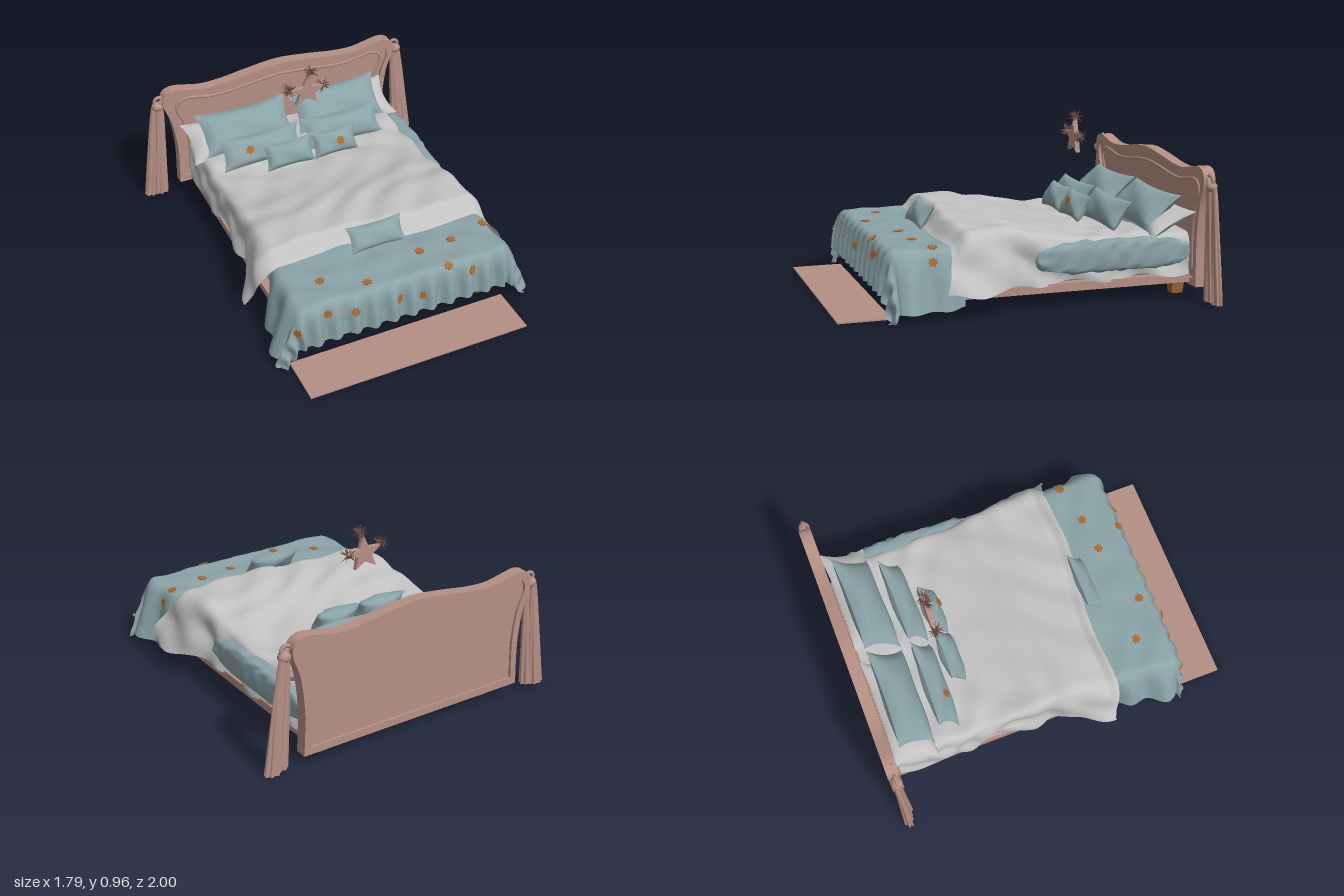
import * as THREE from 'three';
import { mergeGeometries, toCreasedNormals } from 'three/addons/utils/BufferGeometryUtils.js';
import { RoundedBoxGeometry } from 'three/addons/geometries/RoundedBoxGeometry.js';

function material(name, color) {
  const m = new THREE.MeshStandardMaterial({ color, side: THREE.DoubleSide });
  m.name = name;
  return m;
}

const { lerp, smoothstep, clamp } = THREE.MathUtils;
const wrinkle = (x, z) =>
  0.009 * Math.sin(9 * x + 4 * Math.sin(6 * z)) * Math.sin(11 * z + 3 * Math.sin(5 * x)) +
  0.004 * Math.sin(23 * x + 17 * z);

// Moves every vertex of a geometry by a rule
function reshape(geometry, rule) {
  const p = geometry.attributes.position;
  for (let i = 0; i < p.count; i++) p.setXYZ(i, ...rule(p.getX(i), p.getY(i), p.getZ(i)));
  geometry.computeVertexNormals();
  return geometry;
}

// Cloth sheet from a rule of u (-1..1, across) and v (0..1, back to front)
const cloth = (nu, nv, rule) =>
  reshape(new THREE.PlaneGeometry(1, 1, nu, nv), (x, y) => rule(2 * x, 0.5 - y));

// Duvet: flat on top, thicker toward the foot, flaring down both sides
function duvetPoint(u, v) {
  const a = u * 0.92, o = Math.max(0, Math.abs(a) - 0.56);
  const z = -0.92 + v * 1.31 + 0.06 * u * v ** 3 + 0.02 * Math.sin(u * 7) * v ** 3;
  const top = 0.355 + 0.08 * smoothstep(z, -0.4, 0.22) - 0.08 * smoothstep(v, 0.93, 1);
  const drop = (o * o / (o + 0.05)) / 0.316;
  const slope = 0.02 + 0.38 * smoothstep(z, -0.05, 0.3);
  const w = wrinkle(a, z);
  const out = 0.05 * (1 - Math.exp(-o / 0.04)) + o * slope + 2 * w * Math.min(1, o * 5);
  const hem = 0.125 + 0.015 * Math.sin(z * 17);
  return [Math.sign(a) * (Math.min(Math.abs(a), 0.56) + out), lerp(top + w, hem, drop), z];
}

// Throw: hangs over the foot end and both sides, lowest at the corners
function throwPoint(u, v) {
  const a = u * 0.93, b = 0.34 + v * 0.64;
  const ox = Math.max(0, Math.abs(a) - 0.57), oz = Math.max(0, b - 0.7);
  const o = Math.hypot(ox, oz), dx = o ? ox / o : 0, dz = o ? oz / o : 0;
  const round = 0.05 * (1 - Math.exp(-o / 0.04));
  const outX = dx * (round + o * (0.08 + 0.25 * Math.min(1, v * 2)) + 0.018 * Math.sin(b * 32) * Math.min(1, ox * 5));
  const outZ = dz * (round + o * 0.08 + 0.018 * Math.sin(a * 57) * Math.min(1, oz * 5));
  const y = 0.355 - o * o / (o + 0.06) + 0.6 * wrinkle(a, b);
  return [Math.sign(a) * (Math.min(Math.abs(a), 0.57) + outX), Math.max(0.01, y), Math.min(b, 0.7) + outZ];
}

// Cushion with pinched edges and pointed corners
const cushion = (w, h, d) =>
  reshape(new THREE.BoxGeometry(2, 2, 2, 18, 14, 1), (x, y, z) => [
    (w / 2) * x * (0.9 + 0.1 * y * y),
    (h / 2) * y * (0.86 + 0.14 * x * x),
    (d / 2) * z * Math.pow((1 - x * x) * (1 - y * y), 0.45) * (1 + 0.1 * Math.sin(4 * x + 3 * y)),
  ]);

// Wavy headboard outline, inset by k
function outline(k) {
  const half = [[0.68, 0.06], [0.675, 0.3], [0.70, 0.5], [0.742, 0.62], [0.73, 0.69], [0.67, 0.715],
    [0.58, 0.70], [0.48, 0.682], [0.35, 0.688], [0.2, 0.71]];
  const all = [...half, [0, 0.73], ...half.map(([x, y]) => [-x, y]).reverse()];
  const points = all.map(([x, y]) => new THREE.Vector2(
    x * (1 - k / 0.72), 0.06 + k + (y - 0.06) * (0.67 - 2 * k) / 0.67));
  return new THREE.SplineCurve(points).getPoints(90);
}

export function createModel() {
  const model = new THREE.Group();
  const rose = material('dusty rose', 0xb58f84);
  const blue = material('grey blue', 0x8aa3a7);
  const grey = material('pale grey', 0xc1c2c1);
  const wood = material('brown wood', 0x9c6431);
  const orange = material('burnt orange', 0xac6a30);
  const twig = material('dark twig', 0x74524a);

  function add(name, geometry, mat, x = 0, y = 0, z = 0, parent = model) {
    const mesh = new THREE.Mesh(geometry, mat);
    mesh.name = name;
    mesh.position.set(x, y, z);
    parent.add(mesh);
    return mesh;
  }

  // Headboard: panel, raised rim and inner moulding
  const extrude = (shape, depth) =>
    toCreasedNormals(new THREE.ExtrudeGeometry(shape, { depth, bevelEnabled: false }), 0.6);
  add('headboardPanel', extrude(new THREE.Shape(outline(0.02)), 0.036), rose, 0, 0, -0.984);
  const rim = new THREE.Shape(outline(0));
  rim.holes.push(new THREE.Path(outline(0.04)));
  add('headboardRim', extrude(rim, 0.066), rose, 0, 0, -0.998);
  const path = new THREE.CatmullRomCurve3(outline(0.08).map(p => new THREE.Vector3(p.x, p.y, 0)), true);
  add('headboardMoulding', new THREE.TubeGeometry(path, 160, 0.009, 6, true), rose, 0, 0, -0.947);

  // Knotted curtains on both headboard posts
  for (const side of [1, -1]) {
    const curtain = new THREE.Group();
    curtain.name = side > 0 ? 'leftCurtain' : 'rightCurtain';
    const strands = [[0.785, 0.848, 0.042, 0.005, -0.972], [0.758, 0.798, 0.04, 0.012, -0.958]];
    for (const [topX, bottomX, halfWidth, bottom, z0] of strands) {
      const g = reshape(new THREE.CylinderGeometry(1, 1, 1, 36, 12), (x, y, z) => {
        const t = 0.5 - y, angle = Math.atan2(z, x);
        const pleat = 1 + 0.2 * t * Math.cos(7 * angle + 2 * t);
        return [lerp(topX, bottomX, t) + x * lerp(0.02, halfWidth, Math.sqrt(t)) * pleat,
          lerp(0.61, bottom, t), z0 + z * lerp(0.015, 0.025, t) * pleat];
      });
      add('curtainStrand', g, rose, 0, 0, 0, curtain);
    }
    const knot = add('curtainKnot', new THREE.SphereGeometry(0.035, 16, 10), rose, 0.77, 0.62, -0.962, curtain);
    knot.scale.set(1, 0.85, 0.9);
    const loop = add('curtainLoop', new THREE.TorusGeometry(0.028, 0.01, 8, 18), rose, 0.76, 0.65, -0.962, curtain);
    loop.rotation.z = 0.5;
    const tip = add('curtainTip', new THREE.CylinderGeometry(0.007, 0.016, 0.12, 8), rose, 0.73, 0.67, -0.955, curtain);
    tip.rotation.z = 0.75;
    curtain.scale.x = side;
    model.add(curtain);
  }

  // Base, feet, mattress and floor strip
  add('bedBase', new THREE.BoxGeometry(1.22, 0.045, 1.64), rose, 0, 0.0975, -0.11);
  for (const x of [-0.515, 0.515]) for (const z of [-0.89, 0.62]) {
    const foot = add('foot', new THREE.CylinderGeometry(0.055, 0.042, 0.08, 4).toNonIndexed(), wood, x, 0.04, z);
    foot.geometry.rotateY(Math.PI / 4);
    foot.geometry.computeVertexNormals();
  }
  add('mattress', new RoundedBoxGeometry(1.14, 0.22, 1.6, 3, 0.04), grey, 0, 0.22, -0.12);
  add('floorStrip', new THREE.BoxGeometry(1.27, 0.008, 0.28), rose, -0.035, 0.004, 0.86);

  // Bedding
  add('duvet', cloth(90, 80, duvetPoint), grey);
  add('footThrow', cloth(160, 60, throwPoint), blue);
  const sideBlanket = reshape(new THREE.CapsuleGeometry(1, 1, 10, 20, 16), (x, y, z) => {
    const along = clamp(y / 1.5, -1, 1), w = wrinkle(along, z);
    const box = t => Math.sign(t) * Math.pow(Math.abs(t), 0.55);
    return [0.61 + box(x) * 0.055 + w, 0.255 + box(z) * 0.083 + w, -0.48 - along * 0.435];
  });
  add('sideBlanket', sideBlanket, blue);

  // Pillows: width, height, depth, x, y, z, backward lean
  const pillows = [
    ['sleepingPillow', 0.62, 0.28, 0.11, -0.345, 0.41, -0.81, 1.1, grey],
    ['sleepingPillow', 0.62, 0.28, 0.11, 0.345, 0.41, -0.81, 1.1, grey],
    ['largePillow', 0.57, 0.27, 0.14, -0.295, 0.455, -0.785, 0.8, blue],
    ['largePillow', 0.57, 0.27, 0.14, 0.29, 0.455, -0.785, 0.8, blue],
    ['mediumPillow', 0.5, 0.19, 0.11, -0.28, 0.43, -0.585, 0.6, blue],
    ['mediumPillow', 0.5, 0.19, 0.11, 0.235, 0.43, -0.585, 0.6, blue],
    ['smallPillow', 0.3, 0.16, 0.1, -0.16, 0.44, -0.45, 0.5, blue],
    ['smallPillow', 0.28, 0.16, 0.1, 0.125, 0.44, -0.45, 0.5, blue],
    ['footCushion', 0.33, 0.15, 0.08, -0.02, 0.42, 0.405, 0.6, blue],
  ];
  const cushions = pillows.map(([name, w, h, d, x, y, z, lean, mat]) => {
    const mesh = add(name, cushion(w, h, d), mat, x, y, z);
    mesh.rotation.x = -lean;
    mesh.rotation.y = x * 0.08;
    return mesh;
  });

  // Printed flowers on the throw and two pillows
  const petals = [];
  for (let i = 0; i < 28; i++) {
    const angle = (i / 28) * Math.PI * 2, r = 0.022 + 0.005 * Math.cos(7 * angle);
    petals.push(new THREE.Vector2(r * Math.cos(angle), r * Math.sin(angle)));
  }
  const flower = new THREE.ExtrudeGeometry(new THREE.Shape(petals), { depth: 0.006, bevelEnabled: false });
  const spots = [[-0.46, 0.8], [-0.31, 0.83], [-0.05, 0.85], [0.09, 0.88], [0.38, 0.8], [0.25, 0.73], [-0.66, 0.84],
    [-0.42, 0.56], [0.16, 0.57], [0.36, 0.55], [-0.2, 0.67], [0.58, 0.5], [0.67, 0.51]];
  for (const [a, b] of spots) {
    const at = (da, db) => new THREE.Vector3(...throwPoint((a + da) / 0.93, (b + db - 0.34) / 0.64));
    const p = at(0, 0), e = 0.012;
    const normal = at(0, e).sub(at(0, -e)).cross(at(e, 0).sub(at(-e, 0))).normalize();
    const mesh = add('throwFlower', flower, orange, p.x, p.y, p.z);
    mesh.quaternion.setFromUnitVectors(new THREE.Vector3(0, 0, 1), normal);
  }
  add('pillowFlower', flower, orange, -0.08, 0, 0.047, cushions[4]);
  add('pillowFlower', flower, orange, 0.02, 0, 0.05, cushions[7]);

  // Star ornament with three twig tufts above the pillows
  const tips = [[-0.01, 0.9], [-0.12, 0.825], [-0.09, 0.722], [0.035, 0.722], [0.09, 0.815]];
  const star = [];
  tips.forEach(([x, y], i) => {
    const [nx, ny] = tips[(i + 1) % 5];
    star.push(new THREE.Vector2(x, y));
    star.push(new THREE.Vector2(lerp((x + nx) / 2, -0.022, 0.5), lerp((y + ny) / 2, 0.797, 0.5)));
  });
  add('starOrnament', new THREE.ExtrudeGeometry(new THREE.Shape(star),
    { depth: 0.012, bevelThickness: 0.008, bevelSize: 0.004, bevelSegments: 2 }), rose, 0, 0, -0.506);
  let seed = 7;
  const random = () => (seed = (seed * 16807) % 2147483647) / 2147483647;
  const up = new THREE.Vector3(0, 1, 0);
  for (const [x, y] of [[-0.13, 0.828], [0.003, 0.918], [0.08, 0.808]]) {
    const needles = [];
    for (let i = 0; i < 44; i++) {
      const length = 0.03 + 0.028 * random();
      const dir = new THREE.Vector3(random() - 0.5, random() - 0.5, random() - 0.5).normalize();
      const needle = new THREE.ConeGeometry(0.0045, length, 4).translate(0, length / 2, 0);
      needles.push(needle.applyQuaternion(new THREE.Quaternion().setFromUnitVectors(up, dir)));
    }
    add('twigTuft', mergeGeometries(needles), twig, x, y, -0.5);
  }
  return model;
}
